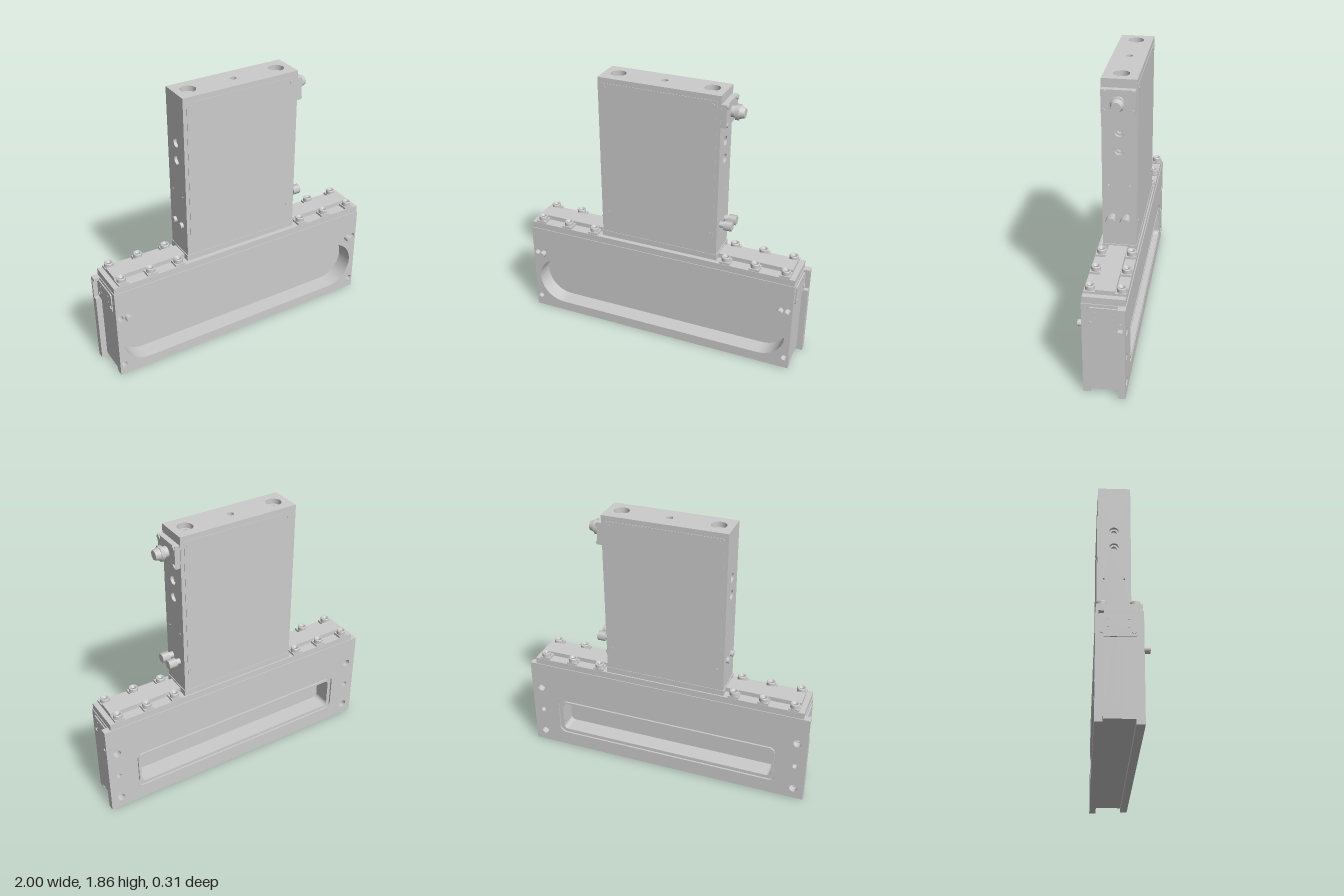
import * as THREE from 'three';

const mat = new THREE.MeshStandardMaterial({ color: 0xcccccc });

export function createModel() {
  const model = new THREE.Group();

  const add = (name, geo, x = 0, y = 0, z = 0) => {
    const m = new THREE.Mesh(geo, mat);
    m.name = name;
    m.position.set(x, y, z);
    model.add(m);
    return m;
  };
  // box from its minimum and maximum limits
  const box = (name, x0, x1, y0, y1, z0, z1) =>
    add(name, new THREE.BoxGeometry(x1 - x0, y1 - y0, z1 - z0), (x0 + x1) / 2, (y0 + y1) / 2, (z0 + z1) / 2);
  // cylinder (or prism) along an axis, centred on the given point
  const rod = (name, axis, r, len, x, y, z, sides = 24) => {
    const g = new THREE.CylinderGeometry(r, r, len, sides);
    if (axis === 'x') g.rotateZ(-Math.PI / 2);
    if (axis === 'z') g.rotateX(Math.PI / 2);
    return add(name, g, x, y, z);
  };
  // rounded rectangle outline, a stadium when r is half the height
  const rounded = (x0, x1, y0, y1, r, Type = THREE.Path) => {
    const p = new Type();
    p.absarc(x1 - r, y0 + r, r, -Math.PI / 2, 0);
    p.absarc(x1 - r, y1 - r, r, 0, Math.PI / 2);
    p.absarc(x0 + r, y1 - r, r, Math.PI / 2, Math.PI);
    p.absarc(x0 + r, y0 + r, r, Math.PI, Math.PI * 1.5);
    p.closePath();
    return p;
  };
  const circle = (x, y, r) => new THREE.Path().absarc(x, y, r, 0, Math.PI * 2);
  const rect = (x0, x1, y0, y1) => new THREE.Shape([[x0, y0], [x1, y0], [x1, y1], [x0, y1]].map(p => new THREE.Vector2(...p)));
  const extrude = (shape, holes, depth) => {
    shape.holes.push(...holes);
    return new THREE.ExtrudeGeometry(shape, { depth, bevelEnabled: false, curveSegments: 20 });
  };
  const mirror = f => [-1, 1].forEach(f);

  // ---- valve body, layered from front to back ----
  const mounts = r => [-0.93, 0.93].flatMap(x => [0.08, 0.46].map(y => circle(x, y, r)));
  const layer = (name, z0, z1, holes) =>
    add(name, extrude(rect(-0.96, 0.96, 0.03, 0.66), holes, z1 - z0), 0, 0, z0);
  const opening = () => rounded(-0.77, 0.77, 0.14, 0.36, 0.03);
  const dowels = () => [circle(-0.93, 0.27, 0.018), circle(0.93, 0.27, 0.018)];

  layer('frontBody', 0, 0.118, [...mounts(0.02), rounded(-0.92, 0.92, 0.07, 0.43, 0.18)]);
  layer('gatePlate', -0.03, 0, mounts(0.02));
  layer('rearBody', -0.105, -0.03, [...mounts(0.02), opening()]);
  layer('rearFlange', -0.14, -0.105, [...mounts(0.027), ...dowels(), opening()]);
  layer('rearFace', -0.152, -0.14, [...mounts(0.027), ...dowels(), rounded(-0.805, 0.805, 0.105, 0.395, 0.05)]);
  // raised lip inside the seal groove
  add('sealLip', extrude(rounded(-0.785, 0.785, 0.125, 0.375, 0.04, THREE.Shape), [opening()], 0.012), 0, 0, -0.152);

  // lips either side of the bottom channel
  box('frontLip', -0.96, 0.96, 0, 0.03, 0.07, 0.118);
  box('rearLip', -1, 1, 0, 0.03, -0.152, -0.108);

  mirror(s => {
    const side = (name, a, b, ...rest) => box(name, Math.min(s * a, s * b), Math.max(s * a, s * b), ...rest);
    // flange ear, thinned beside the end plate
    side('flangeEar', 0.96, 1, 0.03, 0.5, -0.152, -0.105);
    side('flangeEarThin', 0.96, 1, 0.5, 0.64, -0.152, -0.135);
    side('flangeEarCap', 0.96, 1, 0.64, 0.66, -0.152, -0.105);
    // end plate and its screws
    const plate = extrude(rounded(-0.08, 0.135, 0.5, 0.64, 0.015, THREE.Shape), [], 0.008);
    plate.rotateY(Math.PI / 2);
    add('endPlate', plate, s > 0 ? 0.96 : -0.968, 0, 0);
    for (const z of [0.062, -0.115]) rod('endScrew', 'x', 0.013, 0.006, s * 0.97, 0.53, z, 16);
    for (const z of [0.035, -0.08]) for (const y of [0.56, 0.605]) rod('endPin', 'x', 0.006, 0.004, s * 0.969, y, z, 10);
    // locating pin on the front
    rod('locatingPin', 'z', 0.021, 0.045, s * 0.88, 0.46, 0.1335);
  });

  // ---- lid with raised ribs and cap screws ----
  box('lid', -0.955, 0.955, 0.66, 0.705, -0.147, 0.113);
  const capScrew = new THREE.LatheGeometry(
    [[0, 0.03], [0.014, 0.03], [0.014, 0.045], [0.027, 0.045], [0.027, 0.045], [0.03, 0.041], [0.03, 0.041], [0.03, 0]]
      .map(p => new THREE.Vector2(...p)).reverse(), 24);
  mirror(s => {
    const side = (a, b, ...rest) => box('lidRib', Math.min(s * a, s * b), Math.max(s * a, s * b), ...rest);
    side(0.4, 0.92, 0.705, 0.735, -0.08, 0.04);
    for (const x of [0.48, 0.68, 0.885]) {
      side(x - 0.035, x + 0.035, 0.705, 0.72, 0.04, 0.11);
      side(x - 0.035, x + 0.035, 0.705, 0.72, -0.145, -0.08);
      for (const z of [0.075, -0.115]) add('capScrew', capScrew, s * x, 0.705, z);
    }
  });

  // ---- actuator tower ----
  const zc = -0.028;
  box('towerBase', -0.415, 0.415, 0.7, 0.745, -0.138, 0.083);
  box('towerCore', -0.37, 0.37, 0.745, 1.79, -0.135, 0.08);
  // top block with two bored ports and a centre hole
  const ports = r => [circle(-0.315, -zc, r), circle(0.315, -zc, r)];
  [[1.79, 0.03, 0.03], [1.82, 0.035, 0.05]].forEach(([y, h, r]) => {
    const g = extrude(rect(-0.41, 0.41, -0.08, 0.135), [...ports(r), circle(0, -zc, 0.022)], h);
    g.rotateX(-Math.PI / 2);
    add('towerTop', g, 0, y, 0);
  });
  mirror(s => {
    // side wall with two stepped ports: inner layer has the narrow bore
    [[0.37, 0.02, 0.017], [0.39, 0.02, 0.03]].forEach(([x, d, r]) => {
      const holes = [1.4, 1.52].map(y => circle(-zc, y, r));
      if (r > 0.02) holes.push(circle(-0.038, 1.165, 0.006), circle(0.093, 1.165, 0.006));
      const g = extrude(rect(-0.08, 0.135, 0.745, 1.79), holes, d);
      g.rotateY(Math.PI / 2);
      add('towerSide', g, s > 0 ? x : -x - d, 0, 0);
    });
    // thin cover with corner screws on the front and back
    const face = s > 0 ? 0.08 : -0.135;
    box('towerCover', -0.385, 0.385, 0.87, 1.82, face - 0.003, face + 0.003);
    for (const x of [-0.36, 0.36]) for (const y of [0.9, 1.79]) rod('coverScrew', 'z', 0.012, 0.006, x, y, face + s * 0.003, 12);
    // air fittings on the left, plugs on the right
    for (const z of [0.017, -0.072]) {
      if (s > 0) {
        rod('fittingStem', 'x', 0.02, 0.05, 0.43, 0.945, z);
        rod('fittingNut', 'x', 0.033, 0.055, 0.4675, 0.945, z, 6);
      } else {
        rod('plug', 'x', 0.02, 0.02, -0.42, 0.945, z);
      }
    }
  });

  // ---- electrical connector on the left side ----
  box('connectorPlate', 0.41, 0.445, 1.65, 1.8, -0.13, 0.077);
  for (const z of [0.058, -0.113]) for (const y of [1.665, 1.785]) rod('connectorScrew', 'x', 0.015, 0.008, 0.449, y, z, 16);
  rod('glandCollar', 'x', 0.036, 0.03, 0.46, 1.725, zc);
  rod('glandNut', 'x', 0.05, 0.025, 0.485, 1.725, zc, 6);
  const gland = new THREE.CylinderGeometry(0.03, 0.042, 0.035, 24);
  gland.rotateZ(-Math.PI / 2);
  add('glandCap', gland, 0.513, 1.725, zc);

  return model;
}
